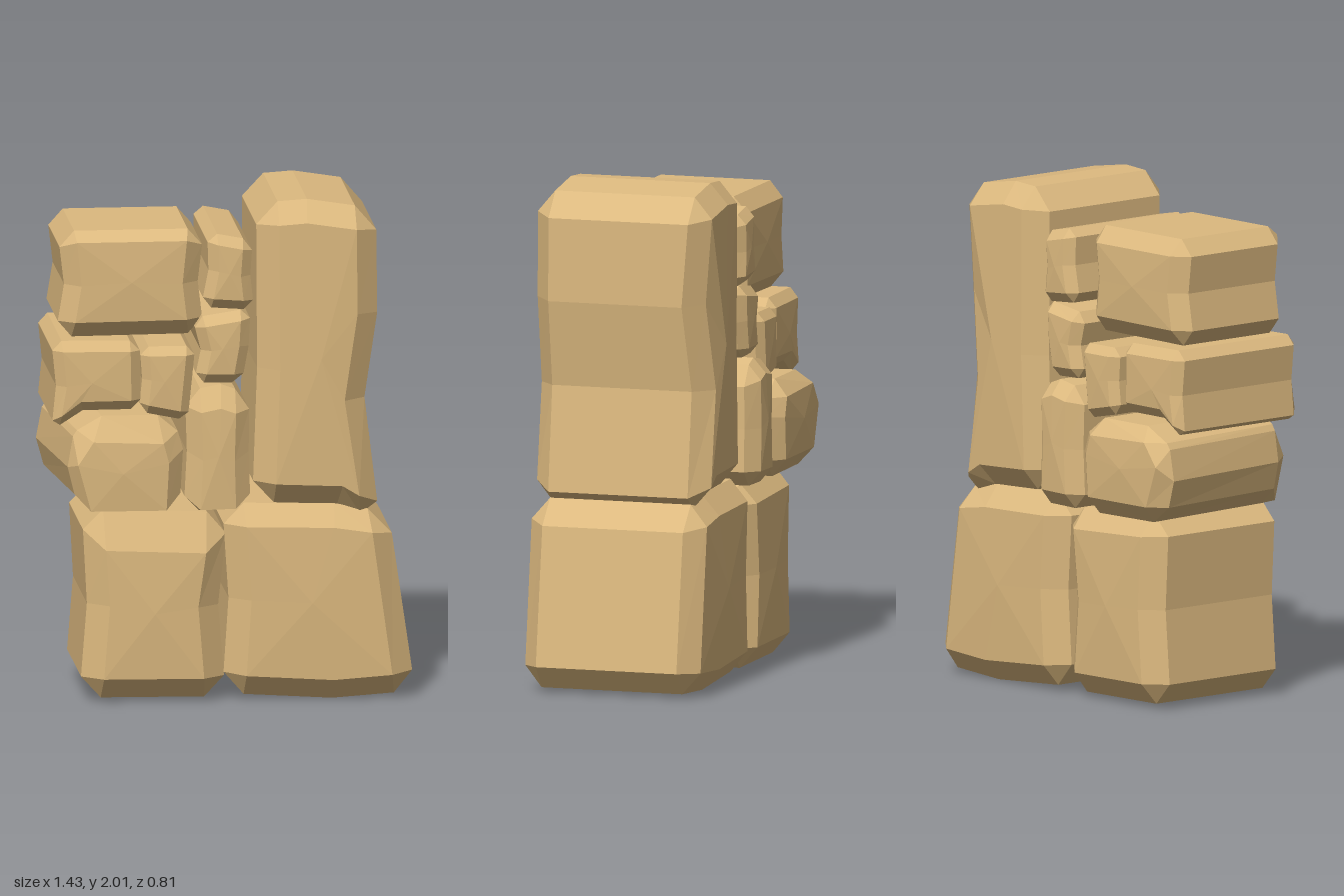
import * as THREE from 'three';

// Clockwise outline from four corners; each side may bend outwards by [position along side, amount].
function makeOutline(corners, bends) {
  const pts = corners.map(([x, y]) => new THREE.Vector2(x, y));
  return ['top', 'right', 'bottom', 'left'].flatMap((side, i) => {
    const from = pts[i], to = pts[(i + 1) % 4];
    const d = to.clone().sub(from).normalize();
    const outward = new THREE.Vector2(-d.y, d.x);
    const bent = (bends[side] ?? []).map(([t, amount]) =>
      from.clone().lerp(to, t).addScaledVector(outward, amount));
    return [from, ...bent];
  });
}

// Turn the outline into an outer ring with cut corners and a matching inset ring.
function makeRings(pts, b) {
  const outer = [], inner = [];
  pts.forEach((p, i) => {
    const prev = pts[(i + pts.length - 1) % pts.length], next = pts[(i + 1) % pts.length];
    const toPrev = prev.clone().sub(p).normalize(), toNext = next.clone().sub(p).normalize();
    if (toPrev.dot(toNext) > -0.8) {
      // sharp corner: two cut points outside, one shared point inside
      const inset = p.clone().addScaledVector(toPrev, b).addScaledVector(toNext, b);
      outer.push(p.clone().addScaledVector(toPrev, b), p.clone().addScaledVector(toNext, b));
      inner.push(inset, inset);
    } else {
      // gentle bend: move straight inwards
      const d = next.clone().sub(prev).normalize();
      outer.push(p);
      inner.push(p.clone().add(new THREE.Vector2(d.y, -d.x).multiplyScalar(b)));
    }
  });
  return { outer, inner };
}

// Loft the rings from back to front into a faceted, chamfered block with slightly domed faces.
function stoneGeometry(outline, back, front, b, shape) {
  const { outer, inner } = makeRings(outline, b);
  const n = outer.length, dome = b * 0.15;
  const at = (ring, z) => ring.map(p => {
    const v = new THREE.Vector3(p.x, p.y, z);
    shape(v);
    return v;
  });
  const rings = [at(inner, back + dome), at(outer, back + b), at(outer, front - b), at(inner, front - dome)];
  const pos = [];
  const tri = (p, q, r) => {
    if (p.distanceTo(q) < 1e-6 || q.distanceTo(r) < 1e-6 || r.distanceTo(p) < 1e-6) return;
    for (const v of [p, q, r]) pos.push(v.x, v.y, v.z);
  };
  const centre = (ring, z) =>
    ring.reduce((s, v) => s.add(v), new THREE.Vector3()).divideScalar(n).setZ(z);
  const backCentre = centre(rings[0], back), frontCentre = centre(rings[3], front);
  for (let i = 0; i < n; i++) {
    const j = (i + 1) % n;
    for (let k = 0; k < 3; k++) {
      tri(rings[k][i], rings[k + 1][i], rings[k + 1][j]);
      tri(rings[k][i], rings[k + 1][j], rings[k][j]);
    }
    tri(backCentre, rings[0][i], rings[0][j]);
    tri(frontCentre, rings[3][j], rings[3][i]);
  }
  const geometry = new THREE.BufferGeometry();
  geometry.setAttribute('position', new THREE.Float32BufferAttribute(pos, 3));
  geometry.computeVertexNormals(); // unshared corners give flat facets
  return geometry;
}

export function createModel() {
  const group = new THREE.Group();
  group.name = 'stoneWall';
  const sandstone = new THREE.MeshStandardMaterial({ color: 0xdcb97f });
  sandstone.name = 'sandstone';

  // corners: top left, top right, bottom right, bottom left; shape adjusts single points
  const addStone = (name, corners, back, front, chamfer, bends, shape = () => {}) => {
    const outline = makeOutline(corners, bends);
    const mesh = new THREE.Mesh(stoneGeometry(outline, back, front, chamfer, shape), sandstone);
    mesh.name = name;
    group.add(mesh);
  };

  // Large base stones and the tall upright
  addStone('bottomLeftStone', [[-0.59, 0.775], [-0.01, 0.75], [-0.02, 0.01], [-0.6, 0.015]],
    -0.34, 0.39, 0.085, { right: [[0.5, -0.035]], left: [[0.5, -0.025]] },
    v => { if (v.z > 0.35 && v.y > 0.5) v.y -= 0.07; }); // deep front top chamfer
  addStone('bottomRightStone', [[-0.035, 0.79], [0.625, 0.74], [0.73, 0.02], [-0.035, 0.025]],
    -0.355, 0.4, 0.085, { top: [[0.67, 0.022]], bottom: [[0.43, 0.025]], left: [[0.5, -0.025]] });
  addStone('tallStone', [[0.1, 1.99], [0.575, 1.96], [0.59, 0.7], [0.085, 0.79]],
    -0.355, 0.395, 0.085,
    { top: [[0.42, 0.026]], right: [[0.33, 0], [0.6, -0.055]], bottom: [[0.35, -0.045]], left: [[0.45, -0.012]] },
    v => { if (v.z < 0 && v.x > 0.4 && v.y > 1.4 && v.y < 1.7) v.z += 0.025; }); // hollow in the back

  // Middle-sized stones on the left
  addStone('topLeftStone', [[-0.68, 1.88], [-0.1, 1.88], [-0.1, 1.46], [-0.69, 1.455]],
    -0.275, 0.31, 0.065, { right: [[0.5, -0.025]], left: [[0.5, -0.03]] },
    v => { if (v.z > 0.28 && v.y > 1.7) v.y += 0.025; }); // shallow front top chamfer
  addStone('upperLeftStone', [[-0.71, 1.45], [-0.36, 1.445], [-0.355, 1.17], [-0.71, 1.09]],
    -0.315, 0.34, 0.04, { bottom: [[0.62, -0.05]], left: [[0.5, -0.018]] });
  addStone('wedgeStone', [[-0.625, 1.14], [-0.23, 1.14], [-0.2, 0.755], [-0.66, 0.76]],
    -0.405, 0.345, 0.07, { right: [[0.37, 0.035]], left: [[0.62, 0.09]] },
    v => {
      if (v.z > 0) v.x += 0.13 * (-0.2 - v.x); // narrows towards the front
      if (v.z > 0.3) v.y -= v.y < 0.9 ? 0.06 : 0.04; // sharp lower front edge
    });

  // Small filler stones
  addStone('smallStone', [[-0.36, 1.42], [-0.14, 1.42], [-0.17, 1.12], [-0.365, 1.16]],
    -0.34, 0.335, 0.035, { left: [[0.5, -0.012]] });
  addStone('upperChinkStone', [[-0.09, 1.87], [0.09, 1.835], [0.095, 1.555], [-0.115, 1.57]],
    -0.34, 0.315, 0.04, { right: [[0.5, -0.012]], left: [[0.5, -0.017]] });
  addStone('middleChinkStone', [[-0.15, 1.53], [0.08, 1.565], [0.045, 1.265], [-0.145, 1.27]],
    -0.34, 0.33, 0.04, { right: [[0.5, 0.01]], left: [[0.5, -0.03]] });
  addStone('lowerChinkStone', [[-0.18, 1.235], [0.075, 1.22], [0.08, 0.76], [-0.185, 0.755]],
    -0.395, 0.35, 0.06, { top: [[0.55, 0.035]], right: [[0.5, -0.005]], left: [[0.5, -0.01]] },
    v => { if (v.z > 0.3) v.y -= v.y < 0.9 ? 0.05 : 0.03; }); // sharp lower front edge
  return group;
}
